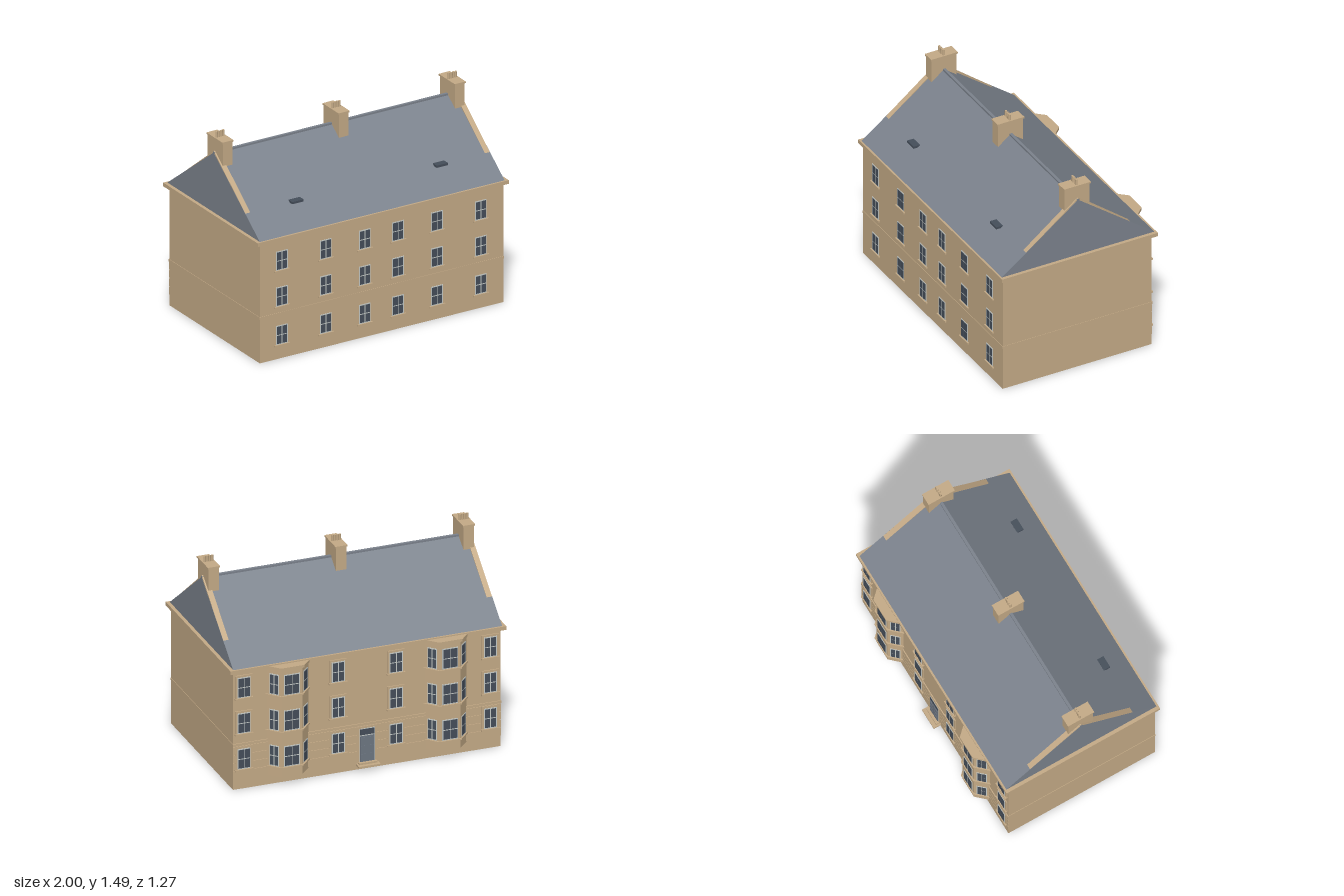
import * as THREE from 'three';

const mat = (name, color) => {
  const m = new THREE.MeshStandardMaterial({ color });
  m.name = name;
  return m;
};

export function createModel() {
  const stone = mat('sandstone', 0xc4aa86);
  const slate = mat('slate', 0x7b828c);
  const paint = mat('window paint', 0xc6cbc7);
  const glass = mat('dark glass', 0x454e5a);
  const doorGrey = mat('door grey', 0x6d7682);

  const model = new THREE.Group();
  model.name = 'tenement';

  const add = (parent, name, geo, m) => {
    const mesh = new THREE.Mesh(geo, m);
    mesh.name = name;
    parent.add(mesh);
    return mesh;
  };
  // Box given by its extents on each axis
  const box = (parent, name, m, x0, x1, y0, y1, z0, z1) => {
    const mesh = add(parent, name, new THREE.BoxGeometry(x1 - x0, y1 - y0, z1 - z0), m);
    mesh.position.set((x0 + x1) / 2, (y0 + y1) / 2, (z0 + z1) / 2);
    return mesh;
  };
  // Side profile of [z, y] points, swept from x0 to x1
  const sweepX = (parent, name, m, pts, x0, x1) => {
    const shape = new THREE.Shape(pts.map(([z, y]) => new THREE.Vector2(-z, y)));
    const geo = new THREE.ExtrudeGeometry(shape, { depth: x1 - x0, bevelEnabled: false });
    geo.rotateY(Math.PI / 2).translate(x0, 0, 0);
    return add(parent, name, geo, m);
  };
  const place = (parent, name, x, y, z, turn = 0) => {
    const g = new THREE.Group();
    g.name = name;
    g.position.set(x, y, z);
    g.rotation.y = turn;
    parent.add(g);
    return g;
  };
  // Sash window facing local +z, origin at the bottom centre
  const sash = (g, w, h, cols, z) => {
    box(g, 'frame', paint, -w / 2, w / 2, 0, h, z - 0.005, z + 0.003);
    const bar = 0.007;
    const pw = (w - bar * (cols + 1)) / cols;
    const ph = (h - bar * 3) / 2;
    for (let c = 0; c < cols; c++) {
      for (let r = 0; r < 2; r++) {
        const x = -w / 2 + bar + c * (pw + bar);
        const y = bar + r * (ph + bar);
        box(g, 'pane', glass, x, x + pw, y, y + ph, z, z + 0.005);
      }
    }
  };

  // Main walls, string course and eaves
  box(model, 'walls', stone, -0.97, 0.97, 0, 0.88, -0.54, 0.61);
  box(model, 'stringCourse', stone, -0.973, 0.973, 0.322, 0.34, -0.547, 0.613);
  box(model, 'eavesCornice', stone, -1, 1, 0.873, 0.9, -0.572, 0.632);

  // Rusticated courses on the entrance side
  for (let i = 0; i < 4; i++) {
    const y = 0.08 + i * 0.061;
    box(model, 'groundCourse', stone, -0.97, 0.97, y, y + 0.055, -0.545, -0.535);
  }

  // Gabled roof with ridge, skews and skylights
  sweepX(model, 'roof', slate, [[0.62, 0.899], [0.03, 1.34], [-0.56, 0.899]], -0.975, 0.975);
  box(model, 'ridge', slate, -0.975, 0.975, 1.327, 1.346, 0.02, 0.04);
  for (const s of [-1, 1]) {
    const x0 = s > 0 ? 0.935 : -0.974;
    sweepX(model, 'skew', stone,
      [[0.47, 1.01], [0.03, 1.352], [-0.41, 1.01], [0.03, 1.335]], x0, x0 + 0.039);
    box(model, 'skylight', glass, s * 0.575 - 0.045, s * 0.575 + 0.045, 1.038, 1.054, 0.415, 0.465);
  }

  // Chimney stacks with a row of pots
  for (const x of [-0.925, 0, 0.925]) {
    const g = place(model, 'chimney', x, 0, 0.031);
    box(g, 'stack', stone, -0.038, 0.038, 1.265, 1.44, -0.097, 0.097);
    box(g, 'cap', stone, -0.044, 0.044, 1.438, 1.45, -0.103, 0.103);
    for (let i = 0; i < 4; i++) {
      const pot = add(g, 'pot', new THREE.CylinderGeometry(0.008, 0.009, 0.044, 10), stone);
      pot.position.set(-0.027 + i * 0.018, 1.47, 0);
    }
  }

  // Plain front windows
  for (const y of [0.105, 0.388, 0.653]) {
    for (const x of [-0.795, -0.445, -0.135, 0.13, 0.44, 0.79]) {
      const g = place(model, 'frontWindow', x, y, 0.61);
      sash(g, 0.092, 0.14, 2, 0);
      box(g, 'sill', stone, -0.06, 0.06, -0.012, 0, -0.005, 0.012);
    }
  }

  // Entrance side windows with raised stone surrounds
  const floors = [0.15, 0.415, 0.68];
  for (const y of floors) {
    for (const x of [-0.893, -0.21, 0.21, 0.893]) {
      const g = place(model, 'backWindow', x, y, -0.54, Math.PI);
      box(g, 'surround', stone, -0.062, 0.062, -0.005, 0.165, -0.005, 0.008);
      sash(g, 0.095, 0.15, 2, 0.008);
      box(g, 'sill', stone, -0.066, 0.066, -0.014, -0.002, -0.005, 0.018);
    }
  }

  // Front door, glazed light and steps
  const entry = place(model, 'entrance', 0, 0.055, -0.54, Math.PI);
  box(entry, 'surround', stone, -0.072, 0.072, 0, 0.262, -0.005, 0.008);
  box(entry, 'doorFrame', paint, -0.056, 0.056, 0, 0.248, 0, 0.01);
  box(entry, 'door', doorGrey, -0.051, 0.051, 0, 0.193, 0.004, 0.013);
  box(entry, 'fanlight', glass, -0.051, 0.051, 0.2, 0.243, 0.004, 0.012);
  for (const s of [-1, 1]) {
    for (let r = 0; r < 3; r++) {
      box(entry, 'doorPanel', doorGrey, s * 0.025 - 0.018, s * 0.025 + 0.018,
        0.012 + r * 0.06, 0.06 + r * 0.06, 0.012, 0.016);
    }
  }
  box(model, 'upperStep', stone, -0.065, 0.065, 0.043, 0.057, -0.572, -0.535);
  box(model, 'lowerStep', stone, -0.078, 0.078, 0.03, 0.044, -0.598, -0.535);

  // Canted bay slab: half widths at the wall and the face, and projection
  const baySlab = (g, name, back, front, out, y0, y1) => {
    const shape = new THREE.Shape([
      new THREE.Vector2(-back, 0.005), new THREE.Vector2(-back, 0),
      new THREE.Vector2(-front, -out), new THREE.Vector2(front, -out),
      new THREE.Vector2(back, 0), new THREE.Vector2(back, 0.005),
    ]);
    const geo = new THREE.ExtrudeGeometry(shape, { depth: y1 - y0, bevelEnabled: false });
    geo.rotateX(-Math.PI / 2).translate(0, y0, 0);
    add(g, name, geo, stone);
  };
  for (const x of [-0.573, 0.573]) {
    const g = place(model, 'bay', x, 0, -0.54, Math.PI);
    baySlab(g, 'bayWalls', 0.15, 0.075, 0.08, 0.073, 0.875);
    baySlab(g, 'bayCornice', 0.176, 0.085, 0.097, 0.872, 0.892);
    for (const y of floors) {
      baySlab(g, 'baySill', 0.163, 0.081, 0.09, y - 0.014, y - 0.003);
      sash(place(g, 'bayFrontWindow', 0, y, 0.08), 0.115, 0.152, 2, 0);
      for (const s of [-1, 1]) {
        sash(place(g, 'baySideWindow', s * 0.1125, y, 0.04, s * Math.atan2(0.08, 0.075)), 0.072, 0.152, 2, 0);
      }
    }
  }

  return model;
}
